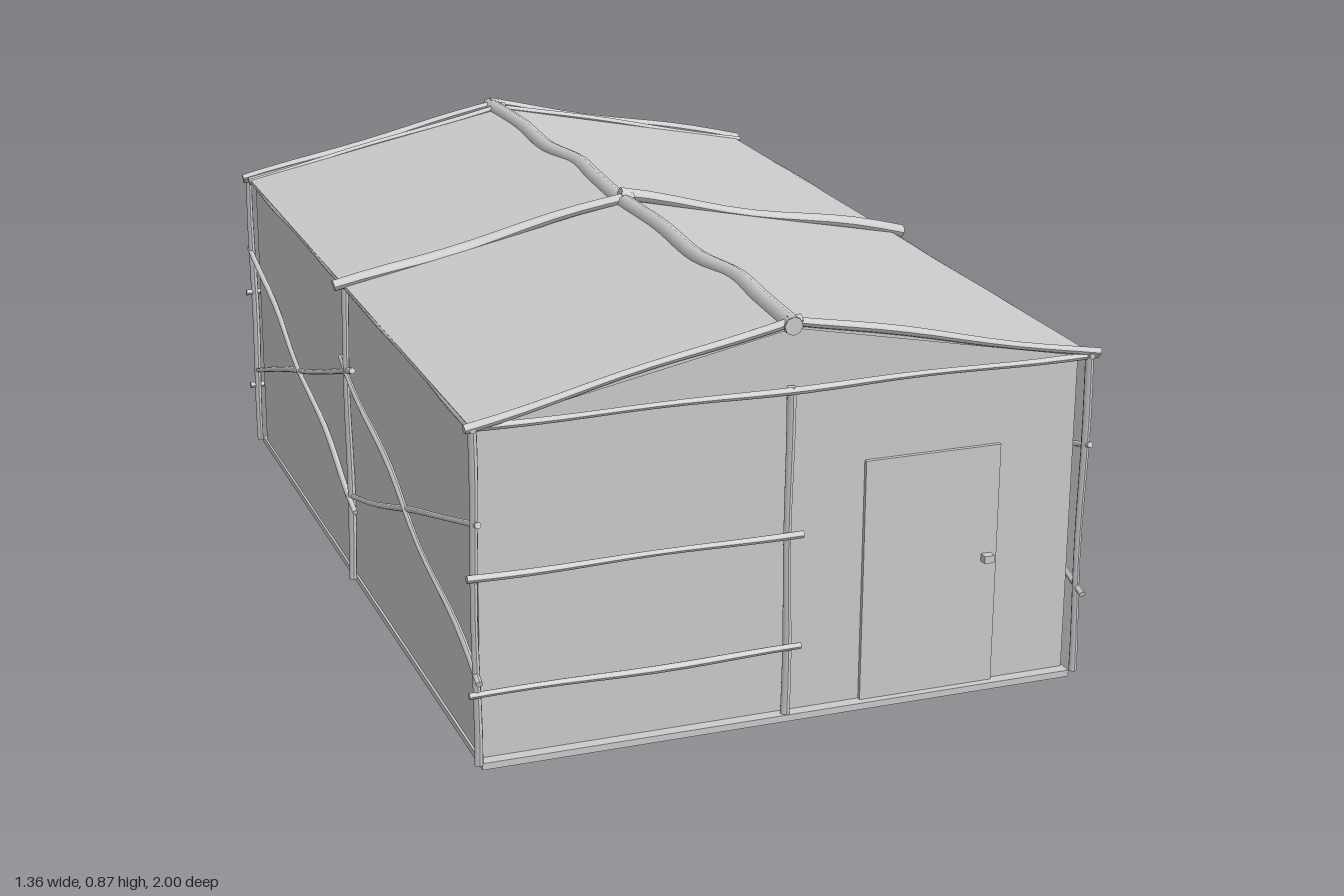
import * as THREE from 'three';

const grey = new THREE.MeshStandardMaterial({ color: 0xcccccc });
const LEFT = 0.633, RIGHT = -0.655, MID = -0.012; // post lines across x
const EAVE = 0.7, RIDGE = 0.838;

export function createModel() {
  const group = new THREE.Group();

  const add = (name, geometry, x = 0, y = 0, z = 0) => {
    const mesh = new THREE.Mesh(geometry, grey);
    mesh.name = name;
    mesh.position.set(x, y, z);
    group.add(mesh);
    return mesh;
  };
  const box = (name, w, h, d, x, y, z) => add(name, new THREE.BoxGeometry(w, h, d), x, y, z);
  const extrude = (name, points, depth, z) => {
    const shape = new THREE.Shape(points.map(p => new THREE.Vector2(...p)));
    return add(name, new THREE.ExtrudeGeometry(shape, { depth, bevelEnabled: false }), 0, 0, z);
  };

  // Rough pole from a to b, gently bent and uneven in thickness
  let seed = 0;
  const log = (name, a, b, radius, bend = 0.004) => {
    const from = new THREE.Vector3(...a), to = new THREE.Vector3(...b);
    const length = from.distanceTo(to);
    const geometry = new THREE.CylinderGeometry(radius, radius, length, 8, Math.max(6, Math.round(length * 16)));
    const pos = geometry.attributes.position;
    const phase = ++seed * 1.7;
    for (let i = 0; i < pos.count; i++) {
      const y = pos.getY(i);
      const thick = 0.92 + 0.1 * Math.sin(y * 9 + phase);
      pos.setX(i, pos.getX(i) * thick + bend * Math.sin(y * 12 + phase));
      pos.setZ(i, pos.getZ(i) * thick + bend * 0.6 * Math.sin(y * 8 + phase * 2));
    }
    geometry.computeVertexNormals();
    const mesh = add(name, geometry);
    mesh.position.copy(from).lerp(to, 0.5);
    mesh.quaternion.setFromUnitVectors(new THREE.Vector3(0, 1, 0), to.sub(from).normalize());
    return mesh;
  };

  // Floor with a raised rim around its underside
  const rim = new THREE.Shape([[-0.648, -0.98], [0.622, -0.98], [0.622, 0.98], [-0.648, 0.98]].map(p => new THREE.Vector2(...p)));
  rim.holes.push(new THREE.Path([[-0.63, -0.96], [-0.63, 0.96], [0.604, 0.96], [0.604, -0.96]].map(p => new THREE.Vector2(...p))));
  add('floorRim', new THREE.ExtrudeGeometry(rim, { depth: 0.014, bevelEnabled: false }), 0, 0.014, 0).rotation.x = Math.PI / 2;
  box('floor', 1.25, 0.008, 1.94, MID, 0.01, 0);

  // Gabled hut body
  extrude('walls', [[-0.643, 0.01], [0.617, 0.01], [0.617, EAVE - 0.003], [MID, RIDGE - 0.012], [-0.643, EAVE - 0.003]], 1.91, -0.955);

  // Folded roof sheet
  extrude('roof', [[-0.66, EAVE - 0.003], [MID, RIDGE - 0.012], [0.635, EAVE - 0.003],
    [0.635, EAVE + 0.006], [MID, RIDGE], [-0.66, EAVE + 0.006]], 1.95, -0.975);

  // Door and latch
  box('door', 0.295, 0.52, 0.012, 0.302, 0.27, 0.958);
  box('doorLatch', 0.022, 0.016, 0.02, 0.426, 0.29, 0.972);

  // Posts at the corners and middle of each wall
  for (const x of [RIGHT, LEFT]) {
    for (const z of [-0.973, 0, 0.973]) log('sidePost', [x, 0.01, z], [x, EAVE + 0.005, z], 0.009, 0.002);
    log('eavePole', [x, EAVE, -0.985], [x, EAVE, 0.985], 0.007, 0.002);
  }
  for (const z of [-0.968, 0.968]) log('endPost', [MID, 0.01, z], [MID, EAVE + 0.005, z], 0.01, 0.002);

  // Crossed braces, two pairs along each side
  for (const x of [RIGHT, LEFT]) {
    for (const s of [1, -1]) {
      log('sideBrace', [x, 0.19, s * 1.0], [x, 0.52, s * -0.06], 0.007);
      log('sideBrace', [x, 0.515, s * 0.99], [x, 0.19, s * -0.05], 0.007);
    }
  }

  // Horizontal rails: half the front, the whole back
  for (const y of [0.16, 0.402]) {
    log('frontRail', [-0.672, y, 0.98], [0.015, y, 0.98], 0.008, 0.002);
    log('backRail', [-0.675, y, -0.975], [0.655, y, -0.975], 0.008, 0.003);
  }
  for (const z of [0.972, -0.972]) log('gableTie', [-0.67, EAVE, z], [0.65, EAVE, z], 0.008, 0.002);

  // Sloping poles on the gable edges and over the middle of the roof
  const rafters = (name, z, radius, reach, lift, bend) => {
    for (const s of [-1, 1]) {
      log(name, [s * reach - 0.008, EAVE + lift * 0.3, z], [MID - s * 0.015, RIDGE + lift, z], radius, bend);
    }
  };
  rafters('frontRafter', 0.975, 0.01, 0.663, 0.008, 0.003);
  rafters('backRafter', -0.97, 0.01, 0.663, 0.008, 0.003);
  rafters('innerBackRafter', -0.938, 0.008, 0.655, 0.007, 0.002);
  rafters('middleRafter', 0.022, 0.015, 0.675, 0.011, 0.005);

  // Bent ridge log lying along the top of the roof
  const spine = [[-0.022, -0.99], [-0.012, -0.75], [-0.022, -0.5], [0.002, -0.36], [-0.008, -0.2], [-0.018, 0],
    [-0.012, 0.25], [-0.022, 0.5], [0.002, 0.64], [-0.008, 0.8], [-0.018, 0.99]];
  const curve = new THREE.CatmullRomCurve3(spine.map(([x, z]) => new THREE.Vector3(x, 0.835, z)));
  add('ridgeLog', new THREE.TubeGeometry(curve, 48, 0.019, 8));
  for (const [x, z, turn] of [[-0.022, -0.99, Math.PI], [-0.018, 0.99, 0]]) {
    add('ridgeLogEnd', new THREE.CircleGeometry(0.019, 8), x, 0.835, z).rotation.y = turn;
  }

  return group;
}
